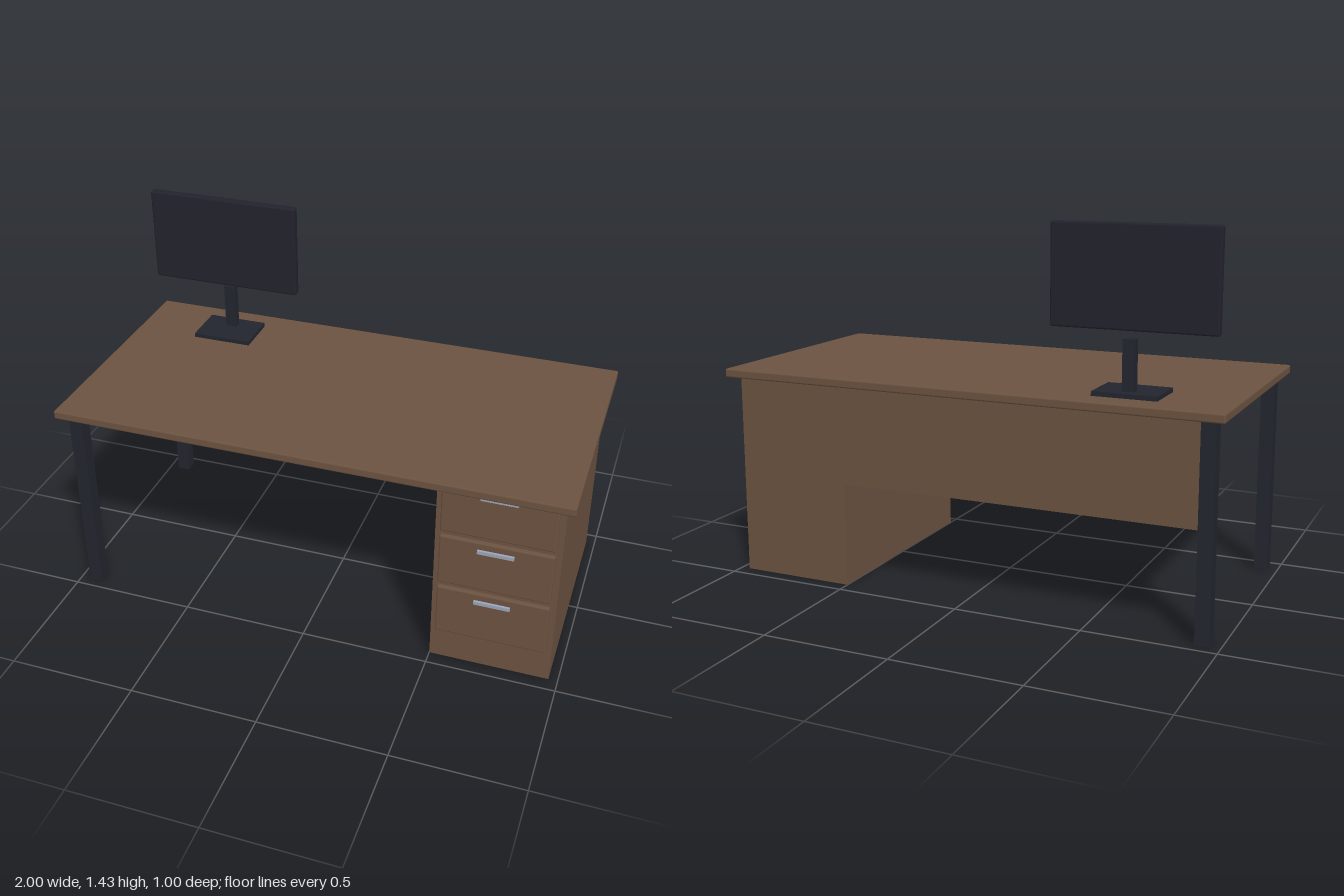
import * as THREE from 'three';
import { RoundedBoxGeometry } from 'three/addons/geometries/RoundedBoxGeometry.js';

const material = (name, color) => {
  const m = new THREE.MeshStandardMaterial({ color });
  m.name = name;
  return m;
};

export function createModel() {
  const wood = material('brown wood', 0x6b5240);
  const metal = material('dark metal', 0x22252e);
  const plastic = material('monitor plastic', 0x22222d);
  const silver = material('silver handle', 0x9ba5b8);

  const desk = new THREE.Group();
  desk.name = 'desk';

  // Box given by its x, y and z ranges; a bevel rounds its edges
  function block(parent, name, mat, [x0, x1], [y0, y1], [z0, z1], bevel = 0) {
    const size = [x1 - x0, y1 - y0, z1 - z0];
    const geometry = bevel
      ? new RoundedBoxGeometry(...size, 2, bevel)
      : new THREE.BoxGeometry(...size);
    const mesh = new THREE.Mesh(geometry, mat);
    mesh.position.set((x0 + x1) / 2, (y0 + y1) / 2, (z0 + z1) / 2);
    mesh.name = name;
    parent.add(mesh);
    return mesh;
  }

  // Table top, pedestal and modesty panel
  block(desk, 'tableTop', wood, [-1, 1], [0.8, 0.835], [-0.5, 0.5], 0.007);
  block(desk, 'pedestal', wood, [0.5, 0.965], [0, 0.801], [-0.445, 0.445]);
  block(desk, 'modestyPanel', wood, [-0.93, 0.5], [0.41, 0.801], [-0.445, -0.425]);

  // Front and back legs on the open side
  for (const [name, z] of [['frontLeg', 0.434], ['backLeg', -0.434]]) {
    block(desk, name, metal, [-0.961, -0.907], [0, 0.801], [z - 0.027, z + 0.027]);
  }

  // Three drawers; the uppermost tucks under the table top
  for (let i = 0; i < 3; i++) {
    const y = 0.136 + i * 0.235;
    const drawer = new THREE.Group();
    drawer.name = 'drawer' + (i + 1);
    const top = Math.min(y + 0.212, 0.803);
    block(drawer, 'drawerFront', wood, [0.52, 0.942], [y, top], [0.44, 0.462], 0.006);
    block(drawer, 'drawerHandle', silver, [0.663, 0.799], [y + 0.17, y + 0.184], [0.455, 0.472]);
    desk.add(drawer);
  }

  // Monitor with its stand
  const monitor = new THREE.Group();
  monitor.name = 'monitor';
  block(monitor, 'standBase', metal, [-0.735, -0.492], [0.834, 0.852], [-0.402, -0.222]);
  block(monitor, 'standPost', metal, [-0.638, -0.592], [0.85, 1.037], [-0.363, -0.33]);
  block(monitor, 'screen', plastic, [-0.925, -0.303], [1.06, 1.435], [-0.329, -0.293], 0.008);
  desk.add(monitor);

  return desk;
}
